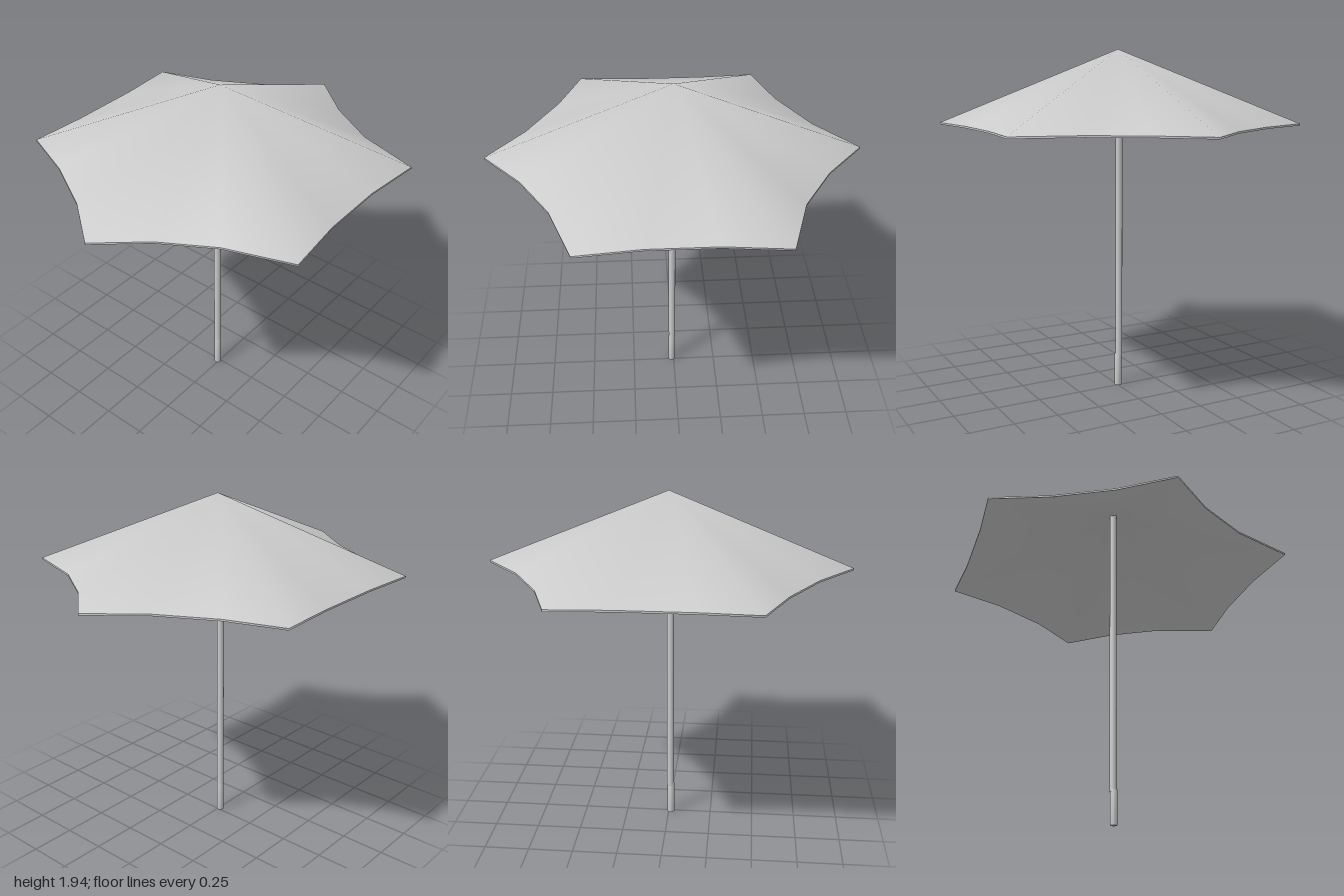
import * as THREE from 'three';
import { mergeVertices } from 'three/addons/utils/BufferGeometryUtils.js';

const grey = new THREE.MeshStandardMaterial({ color: 0xcccccc });

function part(name, geometry, x = 0, y = 0, z = 0) {
  const mesh = new THREE.Mesh(geometry, grey);
  mesh.name = name;
  mesh.position.set(x, y, z);
  return mesh;
}

// Scalloped rim as [x, z]: six rib tips, two drawn-in points between each pair
const rim = [
  [1, 0], [0.79, 0.24], [0.625, 0.51],
  [0.515, 0.86], [0.18, 0.825], [-0.18, 0.825],
  [-0.515, 0.86], [-0.635, 0.51], [-0.795, 0.24],
  [-1, 0], [-0.8, -0.26], [-0.635, -0.56],
  [-0.515, -0.865], [-0.2, -0.847], [0.2, -0.847],
  [0.515, -0.865], [0.62, -0.56], [0.785, -0.26],
];

// Each surface keeps its own vertices, so it is smooth but the rim stays sharp
function surface(points, indices) {
  const g = new THREE.BufferGeometry();
  g.setAttribute('position', new THREE.Float32BufferAttribute(points.flat(), 3));
  g.setIndex(indices);
  g.computeVertexNormals();
  return g;
}

// Fan of triangles from the apex to the rim
function fan(apexY, rimY, facingUp) {
  const points = [[0, apexY, 0], ...rim.map(([x, z]) => [x, rimY, z])];
  const indices = [];
  rim.forEach((_, i) => {
    const a = i + 1, b = ((i + 1) % rim.length) + 1;
    indices.push(0, ...(facingUp ? [b, a] : [a, b]));
  });
  return surface(points, indices);
}

// Narrow band joining the upper and lower cloth
function hem(topY, bottomY) {
  const n = rim.length;
  const points = [topY, bottomY].flatMap((y) => rim.map(([x, z]) => [x, y, z]));
  const indices = [];
  for (let i = 0; i < n; i++) {
    const j = (i + 1) % n;
    indices.push(i, j, i + n, j, j + n, i + n);
  }
  return surface(points, indices);
}

// Capped cylinder with normals averaged over its edges
function softCylinder(radius, height, sides) {
  const g = new THREE.CylinderGeometry(radius, radius, height, sides);
  g.deleteAttribute('normal');
  g.deleteAttribute('uv');
  const soft = mergeVertices(g);
  soft.computeVertexNormals();
  return soft;
}

export function createModel() {
  const model = new THREE.Group();
  model.name = 'parasol';

  const canopy = new THREE.Group();
  canopy.name = 'canopy';
  canopy.add(
    part('canopyTop', fan(1.94, 1.535, true)),
    part('canopyUnderside', fan(1.93, 1.525, false)),
    part('canopyHem', hem(1.535, 1.525)),
  );
  model.add(canopy);

  // Pole runs from the handle to just under the apex
  model.add(part('pole', new THREE.CylinderGeometry(0.02, 0.02, 1.74, 16), -0.01, 1.05, -0.011));
  model.add(part('handle', softCylinder(0.02, 0.19, 16), -0.013, 0.095, -0.008));
  return model;
}
